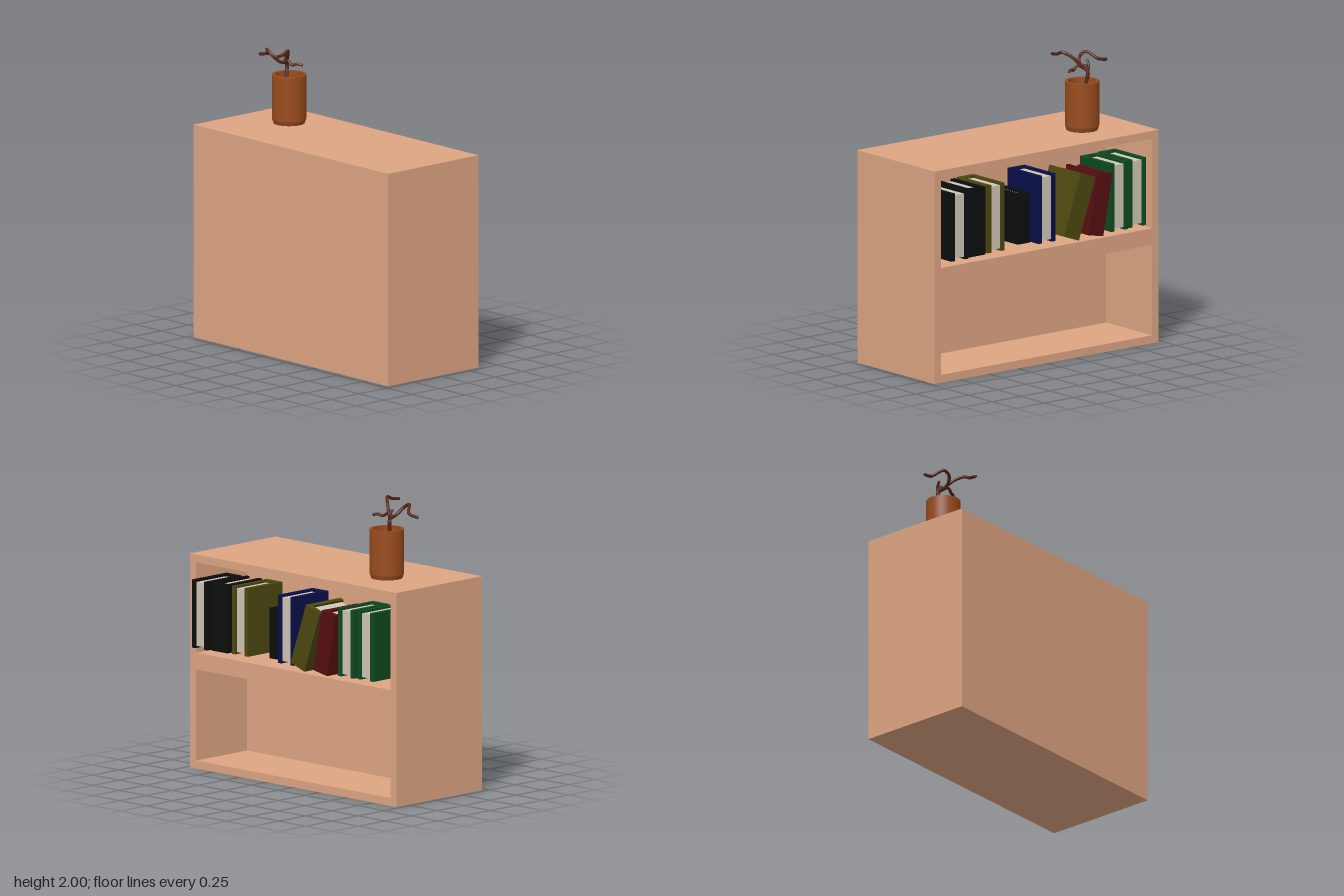
import * as THREE from 'three';

const mat = (color, extra = {}) => new THREE.MeshStandardMaterial({ color, ...extra });

function add(parent, name, geometry, material, x = 0, y = 0, z = 0) {
  const mesh = new THREE.Mesh(geometry, material);
  mesh.name = name;
  mesh.position.set(x, y, z);
  parent.add(mesh);
  return mesh;
}

// Rectangular outline, used for the frame and its openings
function rectangle(Kind, x0, y0, x1, y1) {
  return new Kind([[x0, y0], [x1, y0], [x1, y1], [x0, y1]].map(p => new THREE.Vector2(...p)));
}

// Deep cabinet with two open compartments facing +x
function createCabinet() {
  const cabinet = new THREE.Group();
  cabinet.name = 'cabinet';
  const wood = mat(0xdea582);
  const back = -0.46, inner = -0.13, front = 0.355;
  const outline = rectangle(THREE.Shape, -0.97, 0, 0.97, 1.46);
  outline.holes.push(
    rectangle(THREE.Path, -0.913, 0.055, 0.913, 0.677),
    rectangle(THREE.Path, -0.913, 0.79, 0.913, 1.407));
  const frame = new THREE.ExtrudeGeometry(outline, { depth: front - inner, bevelEnabled: false });
  frame.rotateY(Math.PI / 2);
  add(cabinet, 'shelfFrame', frame, wood, inner);
  add(cabinet, 'cabinetBack', new THREE.BoxGeometry(inner - back, 1.46, 1.94), wood, (back + inner) / 2, 0.73);
  return cabinet;
}

// Hardcover: two boards, a spine and a recessed page block
function createBook({ z, y = 1.0725, w = 0.147, h = 0.465, front, color, spineOut = false, lean = 0 }) {
  const book = new THREE.Group();
  book.name = 'book';
  const depth = 0.33, board = 0.031, spine = 0.04;
  const side = spineOut ? 1 : -1;
  const cover = mat(color), paper = mat(0xcfc5b5);
  for (const s of [-1, 1]) {
    add(book, 'bookCover', new THREE.BoxGeometry(depth, h, board), cover, 0, 0, s * (w - board) / 2);
  }
  add(book, 'bookSpine', new THREE.BoxGeometry(spine, h, w - 2 * board), cover, side * (depth - spine) / 2);
  add(book, 'bookPages', new THREE.BoxGeometry(depth - spine - 0.012, h - 0.03, w - 2 * board), paper,
    -side * (spine - 0.012) / 2);
  book.position.set(front - depth / 2, y, z);
  book.rotation.x = lean;
  return book;
}

// Pot with a thick rim and dark soil
function createPot() {
  const pot = new THREE.Group();
  pot.name = 'pot';
  const clay = mat(0x9a4c1d);
  const bands = [
    [[0, 0], [0.105, 0]],
    [[0.105, 0], [0.115, 0.03]],
    [[0.115, 0.03], [0.116, 0.335]],
    [[0.116, 0.335], [0.096, 0.335]],
    [[0.096, 0.335], [0.096, 0.27]],
  ];
  for (const band of bands) {
    const points = band.map(p => new THREE.Vector2(...p));
    add(pot, 'potWall', new THREE.LatheGeometry(points, 40), clay);
  }
  add(pot, 'soil', new THREE.CircleGeometry(0.097, 40).rotateX(-Math.PI / 2), mat(0x54301d), 0, 0.28);
  pot.position.set(0.038, 1.465, -0.567);
  return pot;
}

// Twisting bare branches growing from one stem
function createPlant() {
  const plant = new THREE.Group();
  plant.name = 'plant';
  const bark = mat(0x57291b);
  const branches = [
    { name: 'stem', r: 0.013, path: [[0.04, 1.74, -0.59], [0.045, 1.8, -0.6], [0.052, 1.85, -0.605], [0.035, 1.895, -0.6]] },
    { name: 'rearBranch', r: 0.011, path: [[0.045, 1.87, -0.6], [-0.02, 1.89, -0.6], [-0.065, 1.94, -0.63],
      [-0.06, 1.965, -0.68], [0, 1.92, -0.735], [0, 1.91, -0.77], [-0.005, 1.903, -0.81]] },
    { name: 'frontBranch', r: 0.011, path: [[0.04, 1.88, -0.6], [0.015, 1.915, -0.56], [-0.015, 1.96, -0.52],
      [-0.06, 1.99, -0.475], [-0.11, 1.97, -0.47], [-0.165, 1.962, -0.475]] },
    { name: 'lowBranch', r: 0.01, path: [[0.045, 1.87, -0.6], [0.01, 1.9, -0.55], [0.015, 1.875, -0.51],
      [0.03, 1.885, -0.48], [0.045, 1.88, -0.45]] },
    { name: 'shortTwig', r: 0.009, path: [[0.05, 1.86, -0.605], [0.055, 1.895, -0.61], [0.035, 1.93, -0.615]] },
  ];
  for (const { name, r, path } of branches) {
    const points = path.map(p => new THREE.Vector3(...p));
    const curve = new THREE.CatmullRomCurve3(points);
    add(plant, name, new THREE.TubeGeometry(curve, 32, r, 8), bark);
    const end = points[points.length - 1];
    add(plant, name + 'Tip', new THREE.SphereGeometry(r, 8, 6), bark, end.x, end.y, end.z);
  }
  return plant;
}

export function createModel() {
  const model = new THREE.Group();
  model.name = 'bookcase';
  model.add(createCabinet(), createPot(), createPlant());

  const black = 0x0c0d0e, olive = 0x4c470f, blue = 0x0a0f4a, red = 0x560d11, green = 0x0e4a1e;
  const books = [
    { z: 0.808, front: 0.427, color: black },
    { z: 0.643, front: 0.405, color: black, spineOut: true },
    { z: 0.465, front: 0.39, color: olive },
    { z: 0.183, y: 1.018, w: 0.107, h: 0.345, front: 0.34, color: black, spineOut: true },
    { z: 0.029, front: 0.395, color: blue },
    { z: -0.208, y: 1.06, w: 0.137, h: 0.44, front: 0.452, color: olive, spineOut: true, lean: -0.335 },
    { z: -0.388, y: 1.05, w: 0.13, h: 0.427, front: 0.45, color: red, spineOut: true, lean: -0.185 },
    { z: -0.57, front: 0.43, color: green },
    { z: -0.738, front: 0.415, color: green },
  ];
  books.forEach(b => model.add(createBook(b)));
  return model;
}
